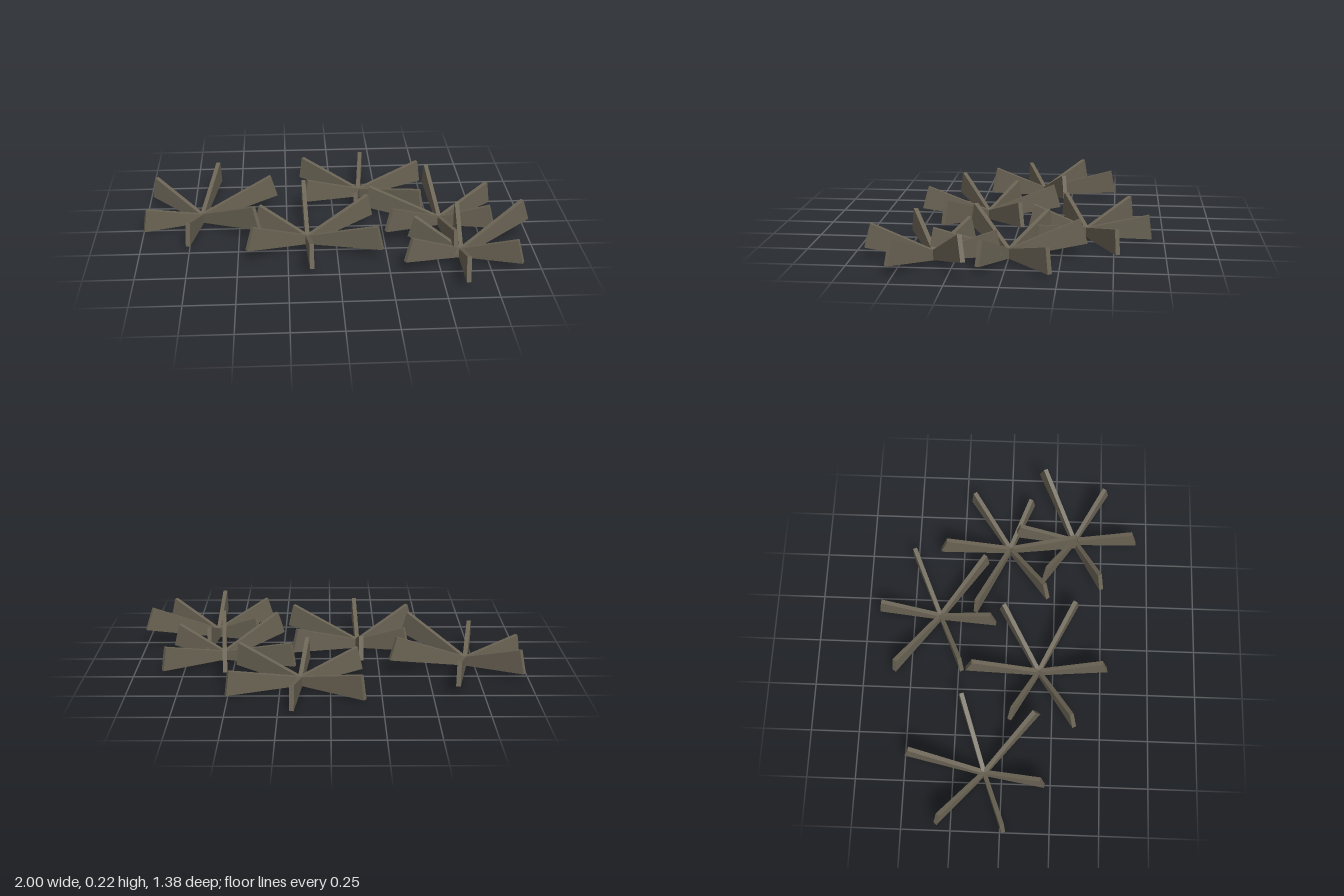
import * as THREE from 'three';

const INNER = 0.045, OUTER = 0.125, THICK = 0.022, HUB_Y = 0.025;

// Each tuft: hub [x, z] and six blade tips [x, z, height of lower outer corner]
const TUFTS = [
  { hub: [-0.7, -0.09], tips: [[-0.62, -0.5, 0.05], [-0.3, -0.23, 0.085], [-0.39, 0.18, 0.09],
    [-0.757, 0.22, 0.025], [-1, 0.018, 0.01], [-0.973, -0.325, 0.045]] },
  { hub: [0.15, -0.36], tips: [[0.185, -0.69, 0.006], [0.51, -0.52, 0.015], [0.48, -0.12, 0.02],
    [0.115, -0.06, 0.035], [-0.16, -0.23, 0.04], [-0.165, -0.59, 0.02]] },
  { hub: [-0.147, 0.175], tips: [[-0.158, -0.21, 0.075], [0.197, -0.037 + 0.002, 0.055], [0.225, 0.37, 0.065],
    [-0.135, 0.535, 0.057], [-0.455, 0.365, 0.073], [-0.417, 0.028, 0.04]] },
  { hub: [0.557, 0], tips: [[0.52, -0.375, 0.075], [0.855, -0.215, 0.022], [0.83, 0.12, 0.04],
    [0.59, 0.38, 0.03], [0.253, 0.213, 0.08], [0.18, -0.175, 0.03]] },
  { hub: [0.62, 0.35], tips: [[0.64, 0.023, 0.04], [0.99, 0.16, 0.11], [0.9, 0.525, 0.055],
    [0.605, 0.688, 0.052], [0.32, 0.5, 0.065], [0.373, 0.188, 0.04]] },
];

// Flat slab lying along +x from the hub, flaring towards its outer end
function bladeGeometry(length) {
  const geo = new THREE.BoxGeometry(length, 1, THICK);
  geo.translate(length / 2, 0, 0);
  const p = geo.attributes.position;
  for (let i = 0; i < p.count; i++) {
    p.setY(i, p.getY(i) * (p.getX(i) > length / 2 ? OUTER : INNER));
  }
  geo.computeVertexNormals();
  return geo;
}

export function createModel() {
  const model = new THREE.Group();
  model.name = 'leafTufts';
  const material = new THREE.MeshStandardMaterial({ color: 0x6b6455, flatShading: true });

  TUFTS.forEach(({ hub, tips }, t) => {
    const tuft = new THREE.Group();
    tuft.name = `tuft${t + 1}`;
    tuft.position.set(hub[0], HUB_Y, hub[1]);
    tips.forEach(([x, z, low], b) => {
      // Length and upward tilt that put the lower outer corner on its tip
      const dx = x - hub[0], dz = z - hub[1];
      const reach = Math.hypot(dx, dz), rise = low - HUB_Y;
      const length = Math.sqrt(reach * reach + rise * rise - OUTER * OUTER / 4);
      const tilt = Math.atan2(rise, reach) + Math.atan2(OUTER / 2, length);
      const blade = new THREE.Mesh(bladeGeometry(length), material);
      blade.name = `blade${b + 1}`;
      blade.rotation.set(0, Math.atan2(-dz, dx), tilt, 'YXZ');
      tuft.add(blade);
    });
    model.add(tuft);
  });
  return model;
}
